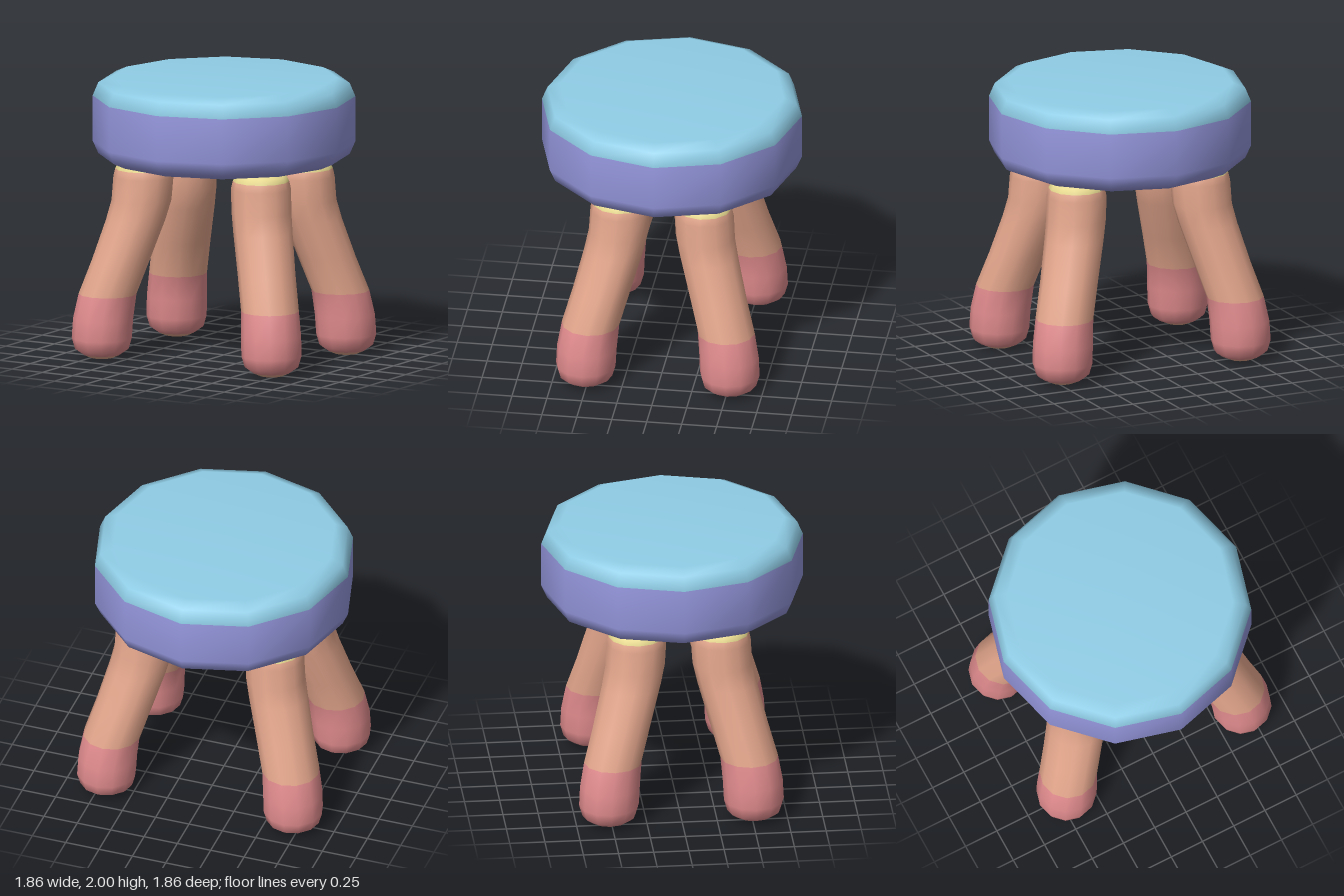
import * as THREE from 'three';

const mat = (name, color) => Object.assign(new THREE.MeshStandardMaterial({ color }), { name });
const SIDES = 12;

// Closed smooth solid from rings [x, y, z, radius], listed bottom to top.
// bands: material index for the bottom cap, each strip between rings, and the top cap.
function ringSolid(rings, bands) {
  const pos = [], index = [], geo = new THREE.BufferGeometry();
  for (const [x, y, z, r] of rings) {
    for (let i = 0; i < SIDES; i++) {
      const a = (i / SIDES) * Math.PI * 2;
      pos.push(x + r * Math.cos(a), y, z + r * Math.sin(a));
    }
  }
  const first = rings[0], last = rings[rings.length - 1];
  const bottom = pos.length / 3, top = bottom + 1;
  pos.push(first[0], first[1], first[2], last[0], last[1], last[2]);
  const band = (k, addFace) => {
    const start = index.length;
    for (let i = 0; i < SIDES; i++) addFace(i, (i + 1) % SIDES);
    geo.addGroup(start, index.length - start, bands[k]);
  };
  band(0, (i, j) => index.push(bottom, i, j));
  for (let k = 0; k < rings.length - 1; k++) {
    const lo = k * SIDES, hi = lo + SIDES;
    band(k + 1, (i, j) => index.push(lo + i, hi + i, lo + j, lo + j, hi + i, hi + j));
  }
  const end = (rings.length - 1) * SIDES;
  band(rings.length, (i, j) => index.push(top, end + j, end + i));
  geo.setAttribute('position', new THREE.Float32BufferAttribute(pos, 3));
  geo.setIndex(index);
  geo.computeVertexNormals();
  return geo;
}

export function createModel() {
  const group = new THREE.Group();
  const blue = mat('cushion blue', 0x8fcde6);
  const purple = mat('seat purple', 0x9496dc);
  const orange = mat('leg orange', 0xe5a78d);
  const pink = mat('foot pink', 0xe28c8e);
  const yellow = mat('collar yellow', 0xe8da90);
  const grey = mat('sole grey', 0x606060);

  // Thick twelve-sided seat with rounded rims
  const seatRings = [[1.41, 0.8], [1.45, 0.89], [1.54, 0.93], [1.865, 0.93], [1.96, 0.89], [2, 0.8]]
    .map(([y, r]) => [0, y, 0, r]);
  const seat = new THREE.Mesh(ringSolid(seatRings, [0, 0, 0, 0, 1, 1, 1]), [purple, blue]);
  seat.name = 'seat';
  group.add(seat);

  // Bent legs: [height, outward shift, radius]
  const legProfile = [
    [0, 0.215, 0.085], [0.025, 0.215, 0.14], [0.06, 0.215, 0.19], [0.14, 0.215, 0.213],
    [0.28, 0.208, 0.213], [0.455, 0.185, 0.205], [0.7, 0.115, 0.205], [0.98, 0.04, 0.21],
    [1.12, 0.01, 0.212], [1.29, 0, 0.213], [1.345, 0, 0.2], [1.385, 0, 0.18], [1.415, 0, 0.11],
  ];
  const legBands = [0, 1, 2, 2, 2, 2, 1, 1, 1, 1, 1, 3, 3, 3];
  for (const sx of [1, -1]) {
    for (const sz of [1, -1]) {
      const rings = legProfile.map(([y, s, r]) => [sx * (0.485 + s), y, sz * (0.3 + s), r]);
      const leg = new THREE.Mesh(ringSolid(rings, legBands), [grey, orange, pink, yellow]);
      leg.name = (sz > 0 ? 'front' : 'back') + (sx > 0 ? 'Left' : 'Right') + 'Leg';
      group.add(leg);
    }
  }
  return group;
}
